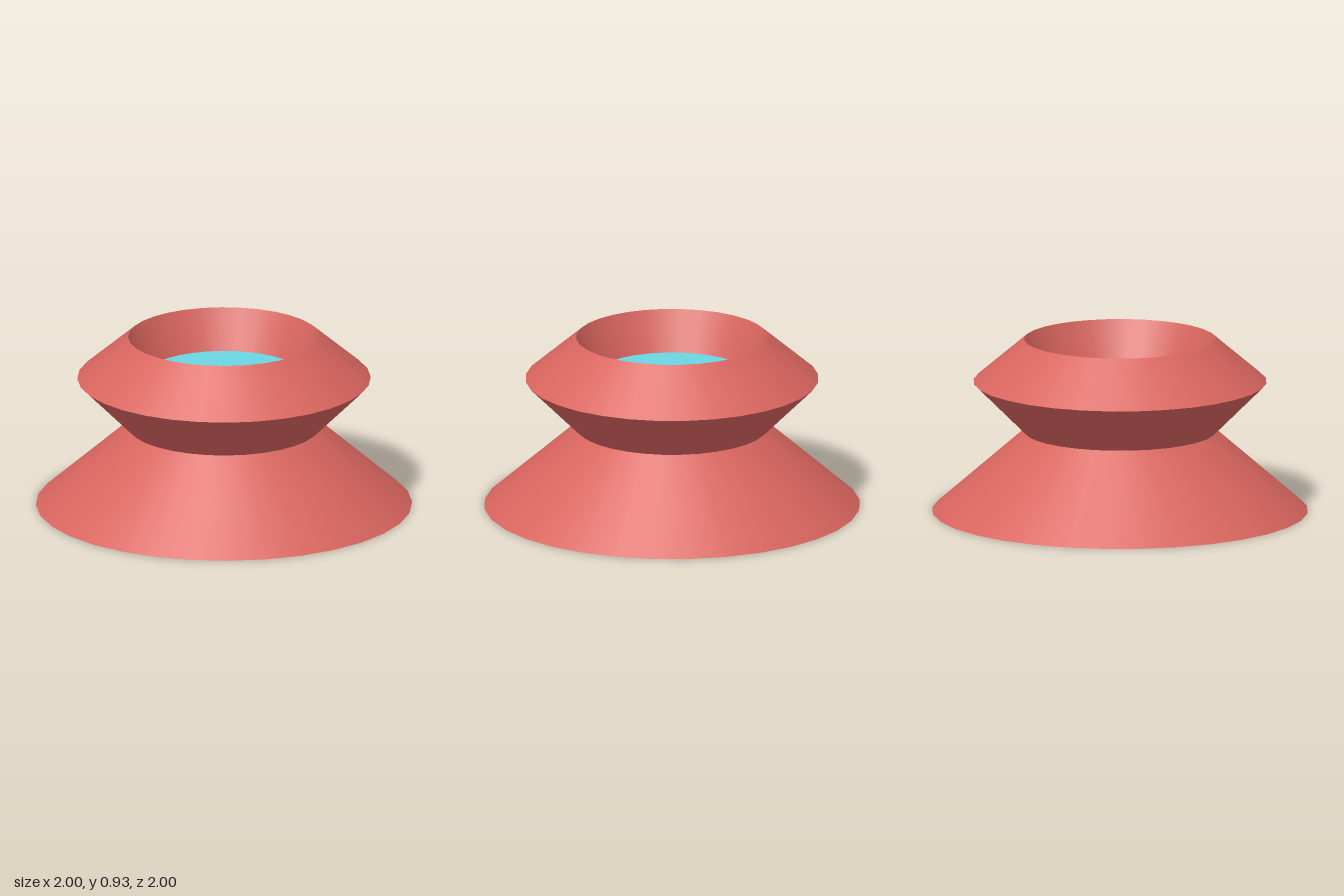
import * as THREE from 'three';

const SIDES = 32;

export function createModel() {
  const model = new THREE.Group();
  const red = new THREE.MeshStandardMaterial({ color: 0xd9655f });
  const blue = new THREE.MeshStandardMaterial({ color: 0x6ad5e3 });

  const add = (name, geometry, material) => {
    const mesh = new THREE.Mesh(geometry, material);
    mesh.name = name;
    model.add(mesh);
    return mesh;
  };

  // One conical band per profile segment, smooth around and sharp between bands
  const band = (name, r0, y0, r1, y1) => add(name, new THREE.LatheGeometry(
    [new THREE.Vector2(r0, y0), new THREE.Vector2(r1, y1)], SIDES), red);

  // Flat disc facing up or down, aligned with the bands
  const disc = (name, radius, y, up, material) => {
    const mesh = add(name, new THREE.CircleGeometry(radius, SIDES), material);
    mesh.rotation.x = up ? -Math.PI / 2 : Math.PI / 2;
    mesh.position.y = y;
  };

  // Flared foot
  disc('footUnderside', 1, 0, false, red);
  band('foot', 1, 0, 0.51, 0.43);

  // Bowl: widening lower wall, shoulder closing to the rim, inner wall
  band('lowerBowl', 0.51, 0.43, 0.78, 0.7);
  band('shoulder', 0.78, 0.7, 0.51, 0.93);
  band('innerWall', 0.51, 0.93, 0.42, 0.715);

  // Water surface filling the bowl
  disc('water', 0.42, 0.715, true, blue);

  return model;
}
